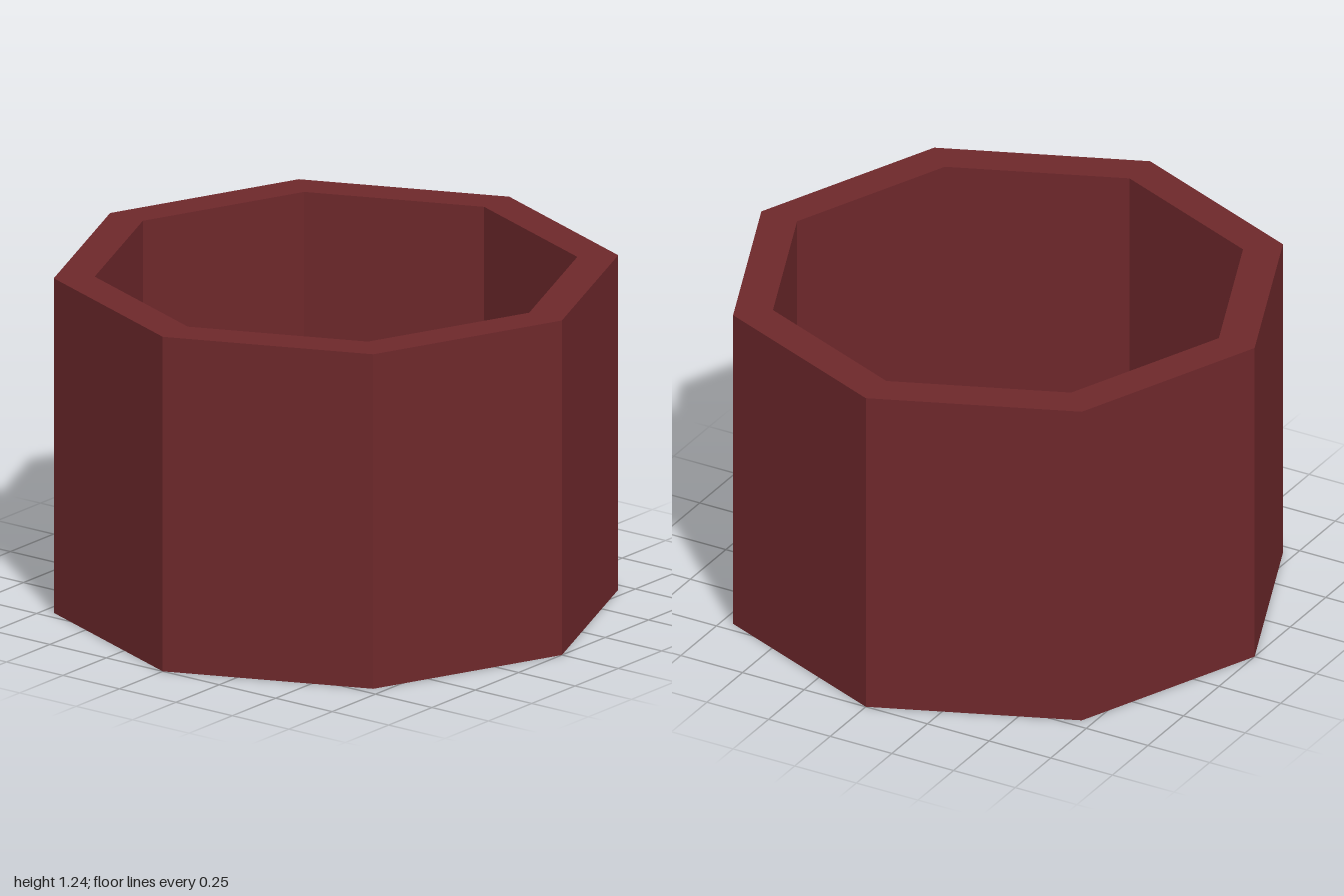
import * as THREE from 'three';

const SIDES = 8;
const HEIGHT = 1.236;
const OUTER = 1;
const INNER = 0.855;

export function createModel() {
  const model = new THREE.Group();
  model.name = 'octagonalPot';

  // Wall: closed rectangular profile swept round in eight flat sides
  const profile = [
    [OUTER, 0], [OUTER, HEIGHT], [INNER, HEIGHT], [INNER, 0], [OUTER, 0],
  ].map(([r, y]) => new THREE.Vector2(r, y));
  const wall = new THREE.Mesh(
    new THREE.LatheGeometry(profile, SIDES),
    new THREE.MeshStandardMaterial({ color: 0x6e282b, flatShading: true }),
  );
  wall.name = 'wall';
  model.add(wall);

  // Floor: thin dark octagon closing the bottom opening
  const floor = new THREE.Mesh(
    new THREE.CircleGeometry(INNER, SIDES).rotateX(-Math.PI / 2),
    new THREE.MeshStandardMaterial({ color: 0x2f1414, flatShading: true, side: THREE.DoubleSide }),
  );
  floor.name = 'floor';
  model.add(floor);

  return model;
}
